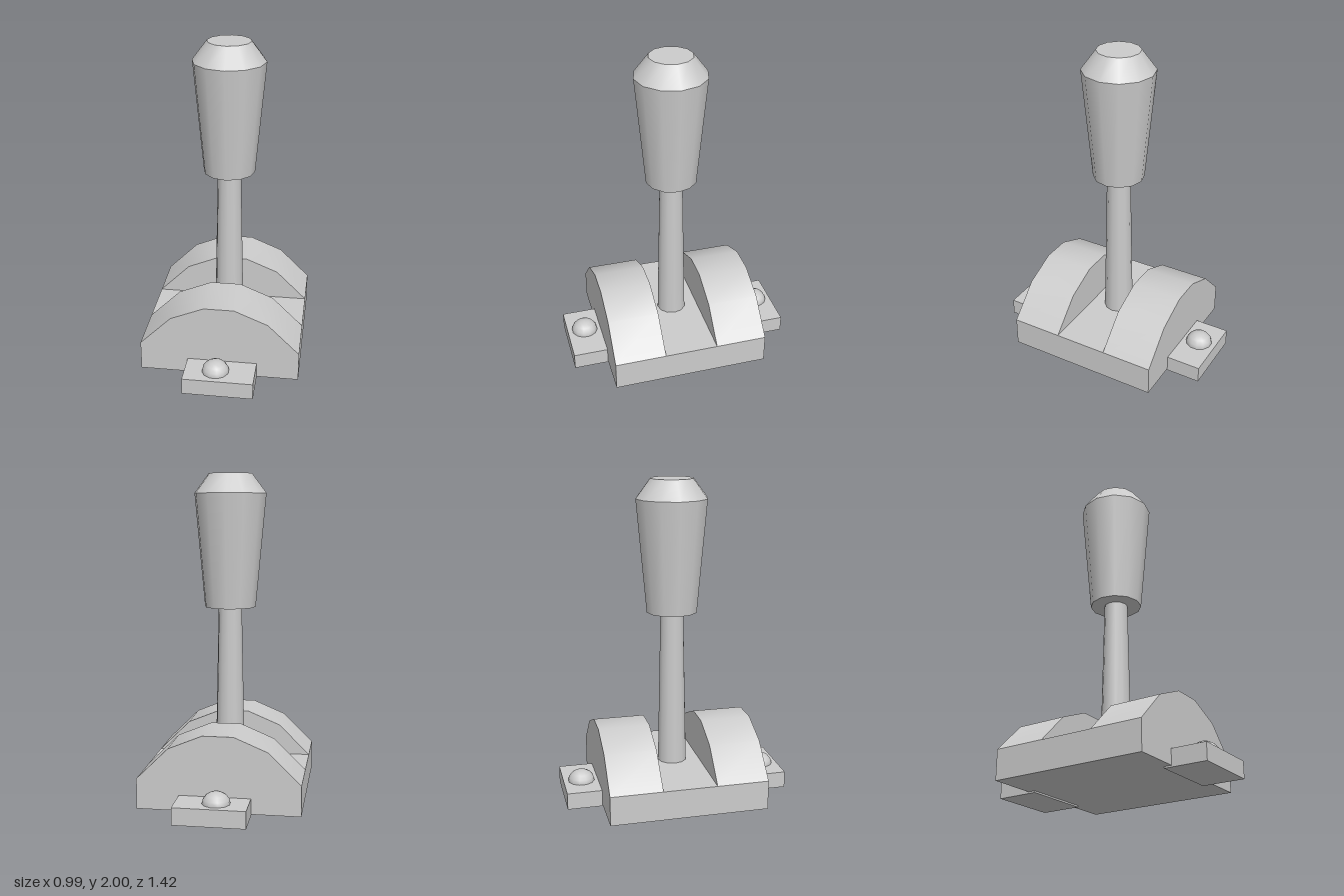
import * as THREE from 'three';
import { toCreasedNormals } from 'three/addons/utils/BufferGeometryUtils.js';

export function createModel() {
  const model = new THREE.Group();
  const material = new THREE.MeshStandardMaterial({ color: 0xcccccc });

  const add = (name, geometry, x, y, z) => {
    const mesh = new THREE.Mesh(geometry, material);
    mesh.name = name;
    mesh.position.set(x, y, z);
    model.add(mesh);
    return mesh;
  };

  // Base: low slab between two arched cheeks
  const half = 0.493, slot = 0.168, bottom = 0.01, deck = 0.195;
  add('baseSlab', new THREE.BoxGeometry(2 * half, deck - bottom, 2 * slot), 0, (deck + bottom) / 2, 0);

  const arch = new THREE.Shape([
    [-half, bottom], [half, bottom], [half, deck], [0.3, 0.386],
    [0.093, 0.472], [-0.093, 0.472], [-0.3, 0.386], [-half, deck],
  ].map(([x, y]) => new THREE.Vector2(x, y)));
  const cheek = toCreasedNormals(
    new THREE.ExtrudeGeometry(arch, { depth: half - slot, bevelEnabled: false }), 0.6);
  add('frontCheek', cheek, 0, 0, slot);
  add('backCheek', cheek, 0, 0, -half);

  // Mounting tabs with domed bolts, front and back
  const tab = new THREE.BoxGeometry(0.432, 0.105, 0.265);
  const dome = new THREE.SphereGeometry(0.084, 12, 4, 0, Math.PI * 2, 0, Math.PI / 2);
  dome.rotateY(Math.PI / 12).scale(1, 0.84, 1);
  for (const [side, s] of [['front', 1], ['back', -1]]) {
    add(side + 'Tab', tab, 0.019, 0.0525, s * 0.578);
    add(side + 'Bolt', dome, -0.007, 0.105, s * 0.597);
  }

  // Lever: tapered rod, grip and chamfered cap
  const taper = (name, rTop, rBottom, y0, y1, open = false) =>
    add(name, new THREE.CylinderGeometry(rTop, rBottom, y1 - y0, 12, 1, open), 0, (y0 + y1) / 2, 0);
  taper('leverRod', 0.073, 0.093, 0.19, 1.19);
  taper('grip', 0.224, 0.16, 1.18, 1.88);
  taper('gripCap', 0.134, 0.224, 1.88, 2);

  return model;
}
